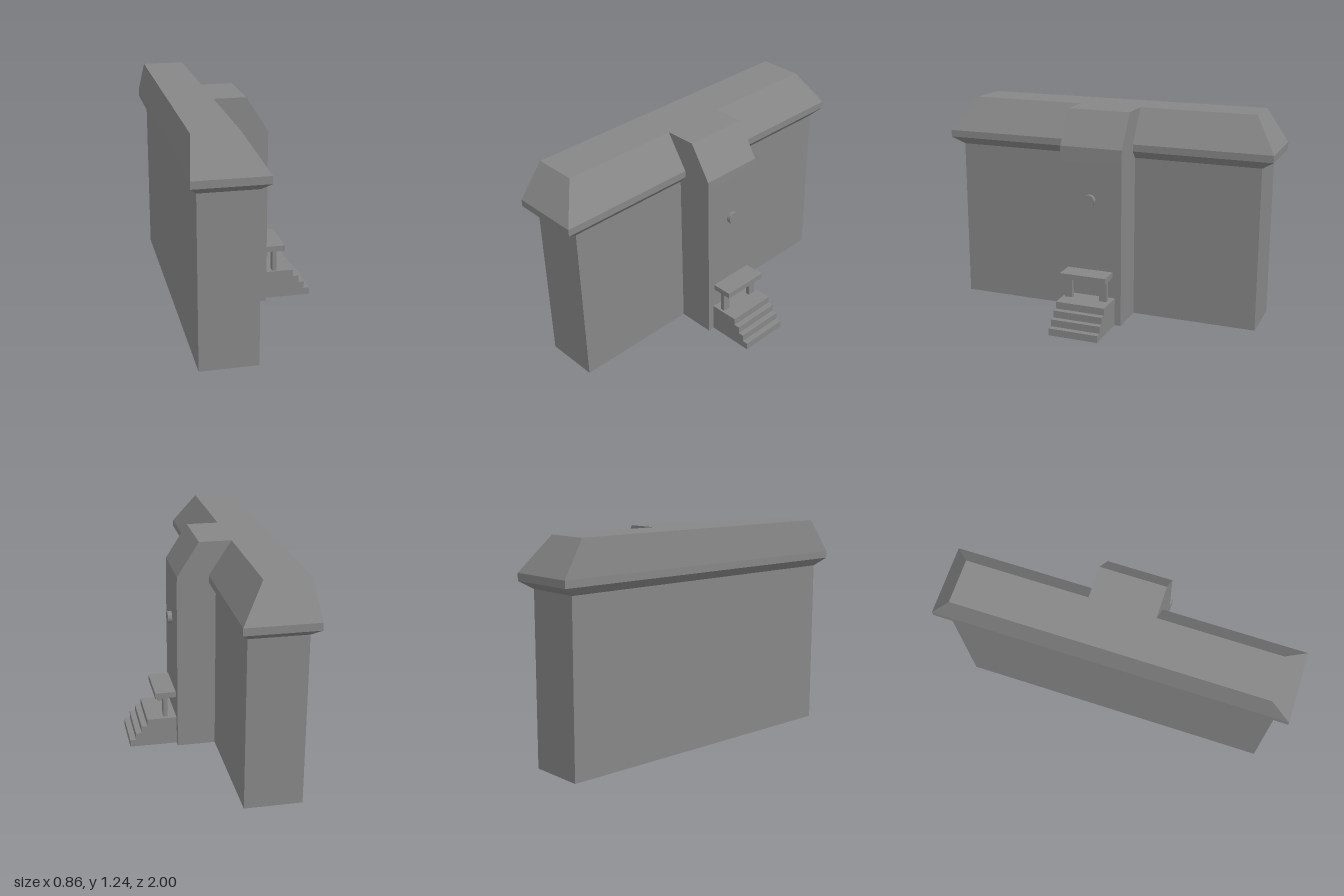
import * as THREE from 'three';

const color = 0x868686;
const material = new THREE.MeshStandardMaterial({ color, flatShading: true, side: THREE.DoubleSide });
const smoothMaterial = new THREE.MeshStandardMaterial({ color });

function addMesh(group, name, geometry, x = 0, y = 0, z = 0, meshMaterial = material) {
  const mesh = new THREE.Mesh(geometry, meshMaterial);
  mesh.name = name;
  mesh.position.set(x, y, z);
  group.add(mesh);
}

// Skin between stacked open outlines; each level is { y, path: [[x, z], ...] }
function loft(levels) {
  const positions = [];
  for (let l = 0; l < levels.length - 1; l++) {
    const low = levels[l], high = levels[l + 1];
    for (let i = 0; i < low.path.length - 1; i++) {
      const at = (level, k) => [level.path[k][0], level.y, level.path[k][1]];
      const a = at(low, i), b = at(low, i + 1), c = at(high, i + 1), d = at(high, i);
      positions.push(...a, ...d, ...b, ...b, ...d, ...c);
    }
  }
  const geometry = new THREE.BufferGeometry();
  geometry.setAttribute('position', new THREE.Float32BufferAttribute(positions, 3));
  geometry.computeVertexNormals();
  return geometry;
}

export function createModel() {
  const group = new THREE.Group();
  const towerZ = 0.187;

  // Shared heights: long block front, back and end, plus tower front
  const sections = [
    { y: 0, front: -0.07, back: -0.39, end: 0.93, tower: 0.152 },
    { y: 0.961, front: -0.07, back: -0.39, end: 0.93, tower: 0.152 },
    { y: 1.006, front: -0.03, back: -0.43, end: 1, tower: 0.151 },
    { y: 1.047, front: -0.03, back: -0.43, end: 1, tower: 0.15 },
    { y: 1.242, front: -0.157, back: -0.405, end: 0.873, tower: 0.026 },
  ];

  // Long block and overhanging roof, interrupted where the tower joins
  const blockLevels = sections.map(({ y, front, back, end }) => ({
    y,
    path: [[front, towerZ], [front, end], [back, end],
      [back, -end], [front, -end], [front, -towerZ]],
  }));
  addMesh(group, 'blockWalls', loft(blockLevels.slice(0, 2)));
  addMesh(group, 'roofSlopes', loft(blockLevels.slice(1)));

  // Entrance tower, its back edges following the block profile
  addMesh(group, 'entranceTower', loft(sections.map(({ y, front, tower }) => ({
    y,
    path: [[front, -towerZ], [tower, -towerZ], [tower, towerZ], [front, towerZ]],
  }))));

  // Flat T-shaped roof top
  const top = sections[sections.length - 1];
  const roofShape = new THREE.Shape([
    [top.back, -top.end], [top.front, -top.end], [top.front, -towerZ], [top.tower, -towerZ],
    [top.tower, towerZ], [top.front, towerZ], [top.front, top.end], [top.back, top.end],
  ].map(([x, y]) => new THREE.Vector2(x, y)));
  addMesh(group, 'roofTop', new THREE.ShapeGeometry(roofShape).rotateX(-Math.PI / 2), 0, top.y, 0);

  // Steps up to the landing, hollow underneath
  const stepFronts = [0.43, 0.395, 0.361, 0.326];
  const stepHeight = 0.0418, wallX = 0.152;
  const stairLevels = [];
  const addStairLevel = (y, x) => stairLevels.push({
    y, path: [[wallX, -0.15], [x, -0.15], [x, 0.147], [wallX, 0.147]],
  });
  stepFronts.forEach((x, i) => {
    addStairLevel(i * stepHeight, x);
    addStairLevel((i + 1) * stepHeight, x);
  });
  addStairLevel(4 * stepHeight, wallX);
  addMesh(group, 'entranceSteps', loft(stairLevels));

  // Canopy on two posts
  addMesh(group, 'canopy', new THREE.BoxGeometry(0.122, 0.033, 0.28), 0.214, 0.309, 0.003);
  for (const side of [-1, 1]) {
    addMesh(group, side > 0 ? 'frontPost' : 'backPost',
      new THREE.BoxGeometry(0.025, 0.126, 0.046), 0.214, 0.23, 0.004 + side * 0.107);
  }

  // Round disc above the entrance
  addMesh(group, 'wallDisc',
    new THREE.CylinderGeometry(0.035, 0.035, 0.025, 32).rotateZ(-Math.PI / 2),
    0.1645, 0.743, 0.005, smoothMaterial);

  return group;
}
